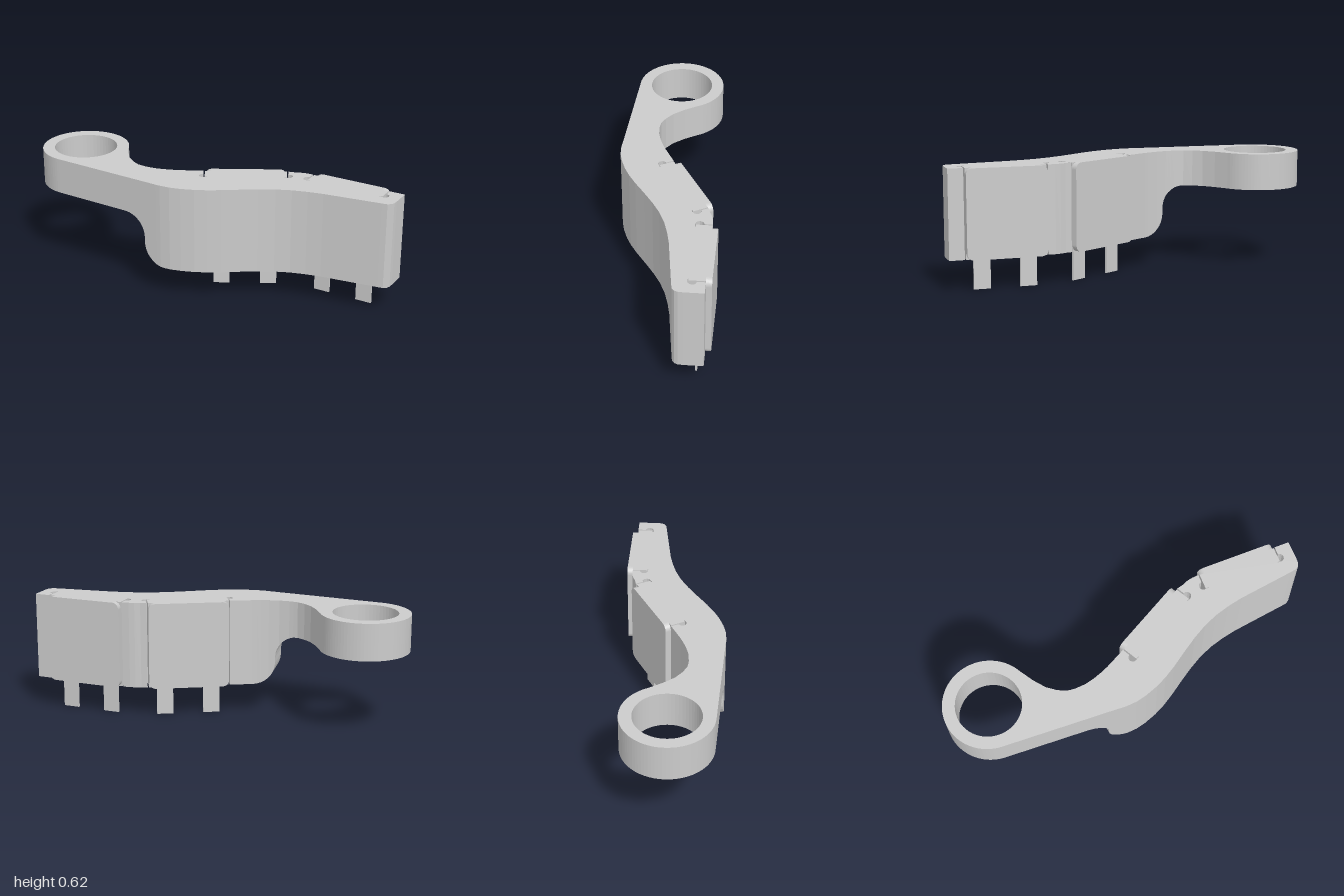
import * as THREE from 'three';

const TOP = 0.622, BOTTOM = 0.162, ARM_BOTTOM = 0.43;
const mat = new THREE.MeshStandardMaterial({ color: 0xcccccc });
const matDouble = new THREE.MeshStandardMaterial({ color: 0xcccccc, side: THREE.DoubleSide });

// Plan outlines are [x, z] pairs
const frontEdge = [[-0.819, 0.157], [-0.25, 0.28], [-0.19, 0.294], [-0.13, 0.3], [-0.07, 0.296], [0, 0.283], [0.06, 0.265],
  [0.13, 0.237], [0.22, 0.195], [0.3, 0.16], [0.38, 0.131], [0.46, 0.112], [0.54, 0.103], [0.62, 0.1], [0.92, 0.11]];
const backEdge = [[-0.4, 0.07], [-0.36, 0.082], [-0.3, 0.088], [-0.25, 0.084], [-0.2, 0.075], [-0.05, 0.038]];

function edgeZ(edge, x) {
  for (let i = 1; i < edge.length; i++) {
    const [x0, z0] = edge[i - 1], [x1, z1] = edge[i];
    if (x <= x1) return z0 + (z1 - z0) * (x - x0) / (x1 - x0);
  }
  return edge[edge.length - 1][1];
}

function extrudeUp(shape, y0, y1) {
  const g = new THREE.ExtrudeGeometry(shape, { depth: y1 - y0, bevelEnabled: false, curveSegments: 28 });
  return g.rotateX(-Math.PI / 2).translate(0, y0, 0);
}

function add(parent, name, geometry, material = mat) {
  const mesh = new THREE.Mesh(geometry, material);
  mesh.name = name;
  parent.add(mesh);
  return mesh;
}

// Each plate has its own frame: a runs along it, d goes into the body
const plates = [
  { x: -0.05, z: 0, angle: Math.atan2(0.14, 0.4), length: 0.424, side: 'inner' },
  { x: 0.51, z: -0.15, angle: Math.atan2(-0.07, 0.41), length: 0.416, side: 'outer' },
];
const THICK = 0.03, FLANGE = 0.014, SLOT = 0.11;

// Keyhole slots at a plate's two ends, walked from left to right
function pocketOutline(p) {
  const half = [[-0.007, THICK - 0.002], [-0.007, 0.07]];
  for (let i = 0; i <= 6; i++) {
    const t = Math.PI * i / 6;
    half.push([-0.007 - 0.022 * Math.sin(t), 0.092 - 0.022 * Math.cos(t)]);
  }
  half.push([FLANGE, 0.114], [FLANGE, THICK]);
  const other = half.map(([a, d]) => [p.length - a, d]).reverse();
  const c = Math.cos(p.angle), s = Math.sin(p.angle);
  return [...half, ...other].map(([a, d]) => [p.x + a * c + d * s, p.z - a * s + d * c]);
}

// Ring and neck of the arm
function armGeometry() {
  const shape = new THREE.Shape();
  const rad = THREE.MathUtils.degToRad;
  shape.absarc(-0.77, 0.07, 0.232, rad(257.8), rad(18), true);
  for (const [x, z] of [[-0.517, -0.065], [-0.48, 0], [-0.44, 0.042], [-0.4, 0.07], [-0.4, edgeZ(frontEdge, -0.4)]])
    shape.lineTo(x, -z);
  shape.closePath();
  const hole = new THREE.Path();
  hole.absarc(-0.77, 0.07, 0.168, 0, Math.PI * 2, false);
  shape.holes.push(hole);
  return extrudeUp(shape, ARM_BOTTOM, TOP);
}

// Curved step between arm and body, lofted from rectangular sections
function stepGeometry() {
  const stations = [], n = 8;
  for (let i = 0; i <= n; i++) {
    const t = Math.PI / 2 * i / n;
    stations.push([-0.4 + 0.12 * Math.sin(t), 0.31 + 0.12 * Math.cos(t)]);
  }
  for (let i = 0; i <= n; i++) {
    const t = Math.PI / 2 * i / n;
    stations.push([-0.16 - 0.12 * Math.cos(t), 0.282 - 0.12 * Math.sin(t)]);
  }
  const pos = [];
  const section = ([x, y]) => {
    const f = edgeZ(frontEdge, x), b = edgeZ(backEdge, x);
    return [[x, TOP, b], [x, TOP, f], [x, y, f], [x, y, b]];
  };
  for (let i = 1; i < stations.length; i++) {
    const p = section(stations[i - 1]), q = section(stations[i]);
    for (let j = 0; j < 4; j++) {
      const k = (j + 1) % 4;
      pos.push(...p[j], ...p[k], ...q[k], ...p[j], ...q[k], ...q[j]);
    }
  }
  const g = new THREE.BufferGeometry();
  g.setAttribute('position', new THREE.Float32BufferAttribute(pos, 3));
  g.computeVertexNormals();
  return g;
}

// Main body with the slotted back
function bodyGeometry() {
  const x0 = -0.16;
  const outline = [
    [x0, edgeZ(backEdge, x0)],
    ...pocketOutline(plates[0]),
    [0.4, -0.118], [0.43, -0.125], [0.46, -0.127],
    ...pocketOutline(plates[1]),
    [1, -0.038], [0.984, 0.06], [0.978, 0.085], [0.968, 0.101], [0.95, 0.11],
    ...frontEdge.filter(([x]) => x > x0).reverse(),
    [x0, edgeZ(frontEdge, x0)],
  ];
  return extrudeUp(new THREE.Shape(outline.map(([x, z]) => new THREE.Vector2(x, -z))), BOTTOM, TOP);
}

// Flat plate with rounded corners
function plateGeometry(w) {
  const r = 0.035, s = new THREE.Shape();
  s.absarc(w - r, TOP - r, r, 0, Math.PI / 2);
  s.absarc(r, TOP - r, r, Math.PI / 2, Math.PI);
  s.absarc(r, BOTTOM + r, r, Math.PI, Math.PI * 1.5);
  s.absarc(w - r, BOTTOM + r, r, Math.PI * 1.5, Math.PI * 2);
  s.closePath();
  return new THREE.ExtrudeGeometry(s, { depth: THICK, bevelEnabled: false, curveSegments: 6 });
}

export function createModel() {
  const model = new THREE.Group();
  model.name = 'ringHandledBracket';
  add(model, 'ringArm', armGeometry());
  add(model, 'curvedStep', stepGeometry(), matDouble);
  add(model, 'body', bodyGeometry());

  for (const p of plates) {
    const clip = new THREE.Group();
    clip.name = p.side + 'Clip';
    clip.position.set(p.x, 0, p.z);
    clip.rotation.y = p.angle;
    add(clip, 'plate', plateGeometry(p.length));
    // Folded flanges in the slots and pins below the body
    for (const end of [0, 1]) {
      const at = (a) => (end ? p.length - a : a);
      add(clip, 'flange', new THREE.BoxGeometry(FLANGE, TOP - BOTTOM, SLOT - THICK))
        .position.set(at(FLANGE / 2), (TOP + BOTTOM) / 2, (SLOT + THICK) / 2);
      add(clip, 'pin', new THREE.BoxGeometry(0.087, 0.2, 0.01)).position.set(at(0.088), 0.1, 0.074);
    }
    model.add(clip);
  }
  return model;
}
